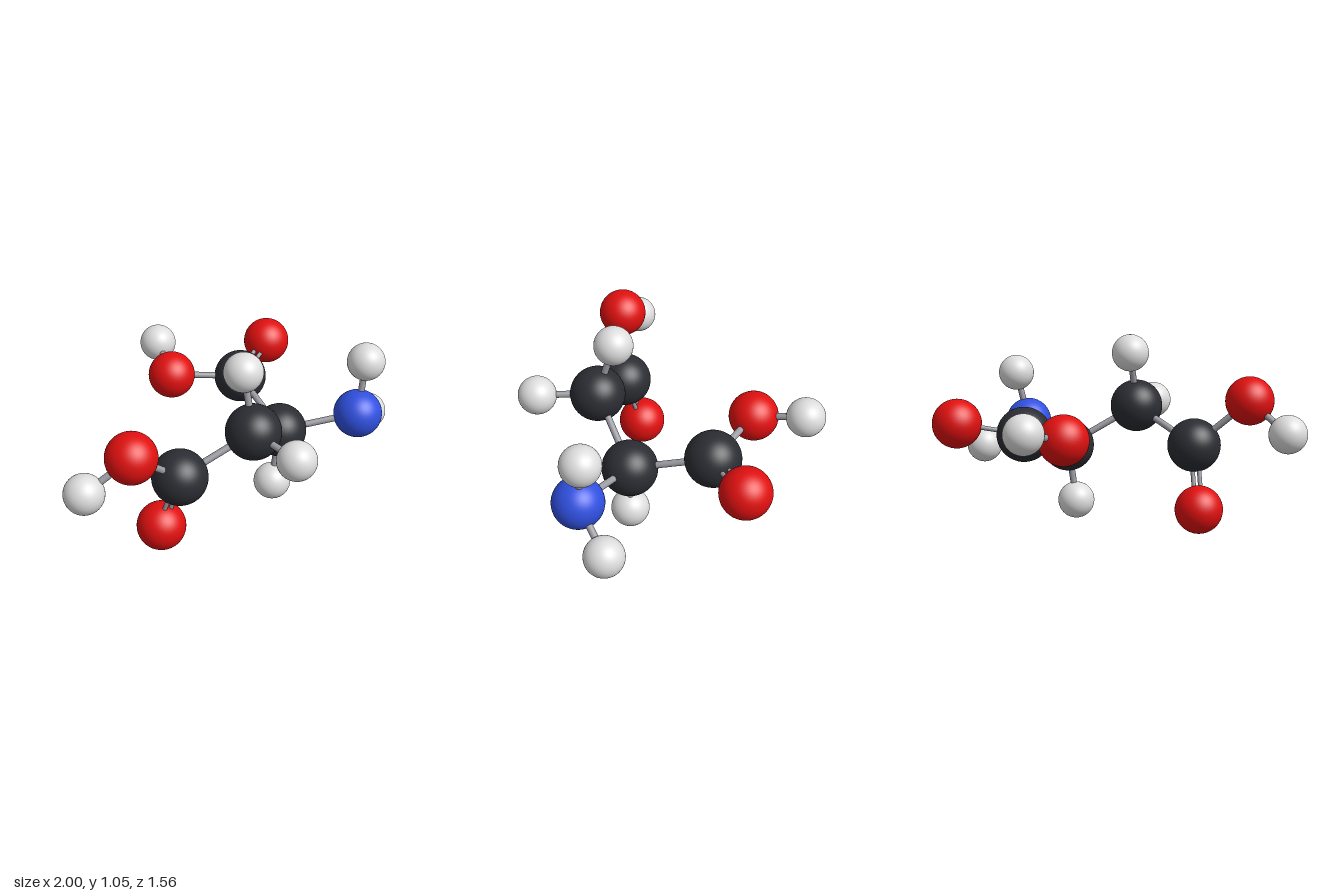
import * as THREE from 'three';

const mat = (name, color) => {
  const m = new THREE.MeshStandardMaterial({ color });
  m.name = name;
  return m;
};

export function createModel() {
  const group = new THREE.Group();
  group.name = 'molecule';

  // One material and radius per element
  const kinds = {
    carbon: { radius: 0.145, material: mat('charcoal', 0x2b2d33) },
    oxygen: { radius: 0.13, material: mat('red', 0xe01010) },
    nitrogen: { radius: 0.131, material: mat('blue', 0x3050e0) },
    hydrogen: { radius: 0.102, material: mat('light grey', 0xdedede) },
  };
  const bondMaterial = mat('bond grey', 0x9c9ca4);
  for (const k of Object.values(kinds)) k.geometry = new THREE.SphereGeometry(k.radius, 40, 28);

  // Atom centres
  const atoms = {
    acidCarbonA: ['carbon', -0.388, 0.471, 0.187],
    doubleOxygenA: ['oxygen', -0.433, 0.137, 0.09],
    acidOxygenA: ['oxygen', -0.687, 0.726, 0.165],
    acidHydrogenA: ['hydrogen', -0.9, 0.571, 0.056],
    middleCarbon: ['carbon', -0.032, 0.653, 0.36],
    upperHydrogen: ['hydrogen', -0.016, 0.957, 0.27],
    frontHydrogen: ['hydrogen', -0.068, 0.645, 0.675],
    centreCarbon: ['carbon', 0.333, 0.436, 0.232],
    lowerHydrogen: ['hydrogen', 0.287, 0.122, 0.231],
    amineNitrogen: ['nitrogen', 0.651, 0.521, 0.512],
    amineHydrogenUpper: ['hydrogen', 0.717, 0.806, 0.492],
    amineHydrogenSide: ['hydrogen', 0.893, 0.384, 0.411],
    acidCarbonB: ['carbon', 0.459, 0.559, -0.175],
    doubleOxygenB: ['oxygen', 0.794, 0.62, -0.274],
    acidOxygenB: ['oxygen', 0.171, 0.583, -0.435],
    acidHydrogenB: ['hydrogen', 0.3, 0.648, -0.678],
  };
  const at = {};
  for (const [name, [kind, x, y, z]] of Object.entries(atoms)) {
    const ball = new THREE.Mesh(kinds[kind].geometry, kinds[kind].material);
    ball.name = name;
    ball.position.set(x, y, z);
    at[name] = ball.position;
    group.add(ball);
  }

  // A rod between two points
  const up = new THREE.Vector3(0, 1, 0);
  const rod = (a, b, radius, name) => {
    const d = b.clone().sub(a);
    const mesh = new THREE.Mesh(new THREE.CylinderGeometry(radius, radius, d.length(), 16), bondMaterial);
    mesh.position.copy(a).lerp(b, 0.5);
    mesh.quaternion.setFromUnitVectors(up, d.normalize());
    mesh.name = name;
    group.add(mesh);
  };

  // Single bonds
  const singles = [
    ['acidCarbonA', 'acidOxygenA'], ['acidOxygenA', 'acidHydrogenA'],
    ['acidCarbonA', 'middleCarbon'], ['middleCarbon', 'upperHydrogen'],
    ['middleCarbon', 'frontHydrogen'], ['middleCarbon', 'centreCarbon'],
    ['centreCarbon', 'lowerHydrogen'], ['centreCarbon', 'amineNitrogen'],
    ['amineNitrogen', 'amineHydrogenUpper'], ['amineNitrogen', 'amineHydrogenSide'],
    ['centreCarbon', 'acidCarbonB'], ['acidCarbonB', 'acidOxygenB'],
    ['acidOxygenB', 'acidHydrogenB'],
  ];
  for (const [a, b] of singles) rod(at[a], at[b], 0.018, 'singleBond');

  // Double bonds: two thin rods side by side in the plane of each acid group
  const doubles = [
    ['acidCarbonA', 'doubleOxygenA', 'acidOxygenA'],
    ['acidCarbonB', 'doubleOxygenB', 'acidOxygenB'],
  ];
  for (const [a, b, neighbour] of doubles) {
    const dir = at[b].clone().sub(at[a]).normalize();
    const side = at[neighbour].clone().sub(at[a]);
    side.addScaledVector(dir, -side.dot(dir)).setLength(0.019);
    for (const s of [-1, 1]) {
      const shift = side.clone().multiplyScalar(s);
      rod(at[a].clone().add(shift), at[b].clone().add(shift), 0.012, 'doubleBond');
    }
  }
  return group;
}
